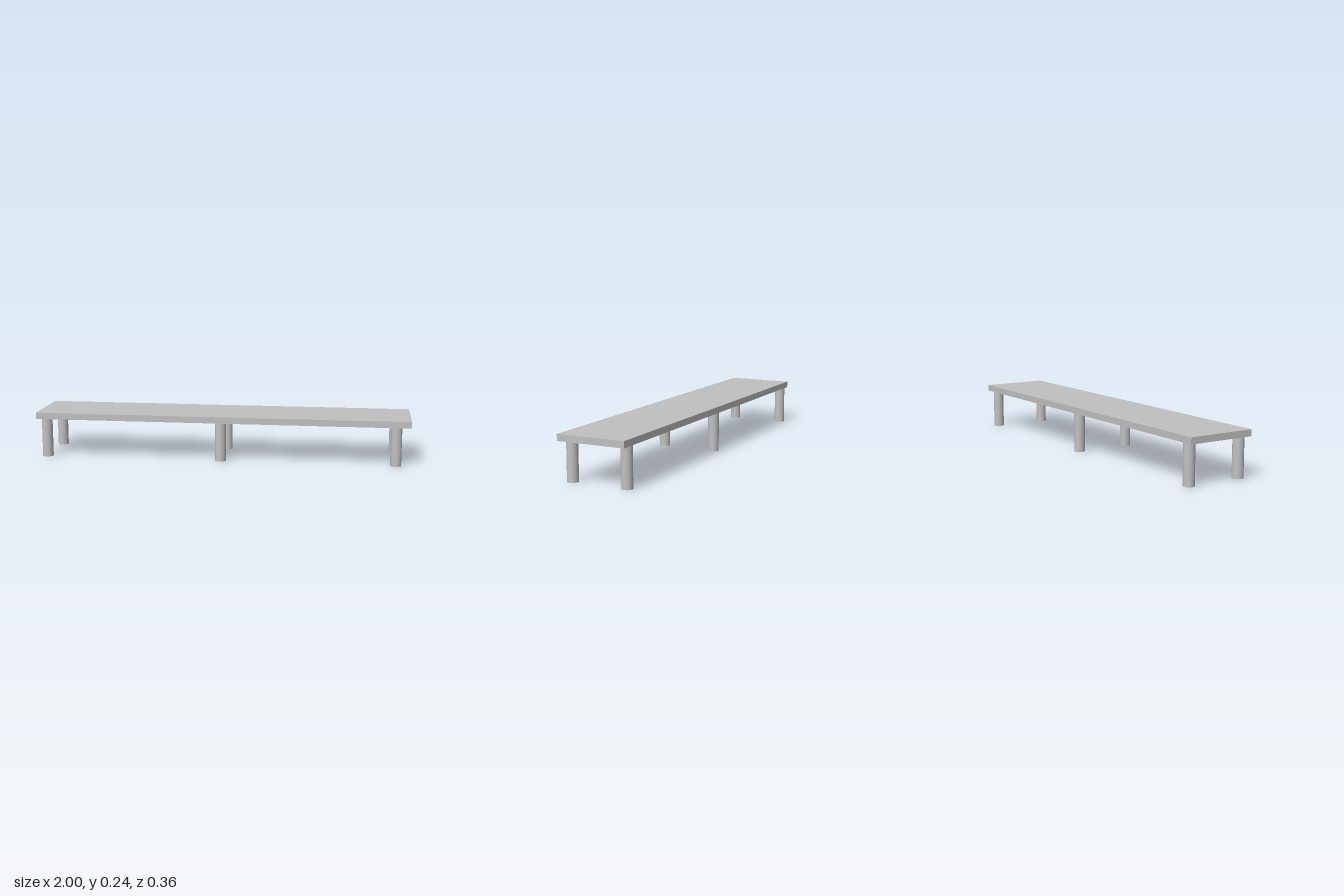
import * as THREE from 'three';

export function createModel() {
  const group = new THREE.Group();
  group.name = 'bench';
  const grey = new THREE.MeshStandardMaterial({ color: 0xc0c0c0 });
  grey.name = 'grey';

  const height = 0.242, thickness = 0.034, legHeight = height - thickness;

  // Long flat top board
  const board = new THREE.Mesh(new THREE.BoxGeometry(2, thickness, 0.363), grey);
  board.name = 'topBoard';
  board.position.y = height - thickness / 2;
  group.add(board);

  // Three pairs of round legs, set slightly off centre under the board
  const legGeometry = new THREE.CylinderGeometry(0.0287, 0.0287, legHeight, 48);
  const columns = { right: -0.949, middle: 0, left: 0.925 };
  const rows = { front: 0.146, back: -0.152 };
  for (const [side, x] of Object.entries(columns)) {
    for (const [row, z] of Object.entries(rows)) {
      const leg = new THREE.Mesh(legGeometry, grey);
      leg.name = `${row} ${side} leg`;
      leg.position.set(x, legHeight / 2, z);
      group.add(leg);
    }
  }
  return group;
}
